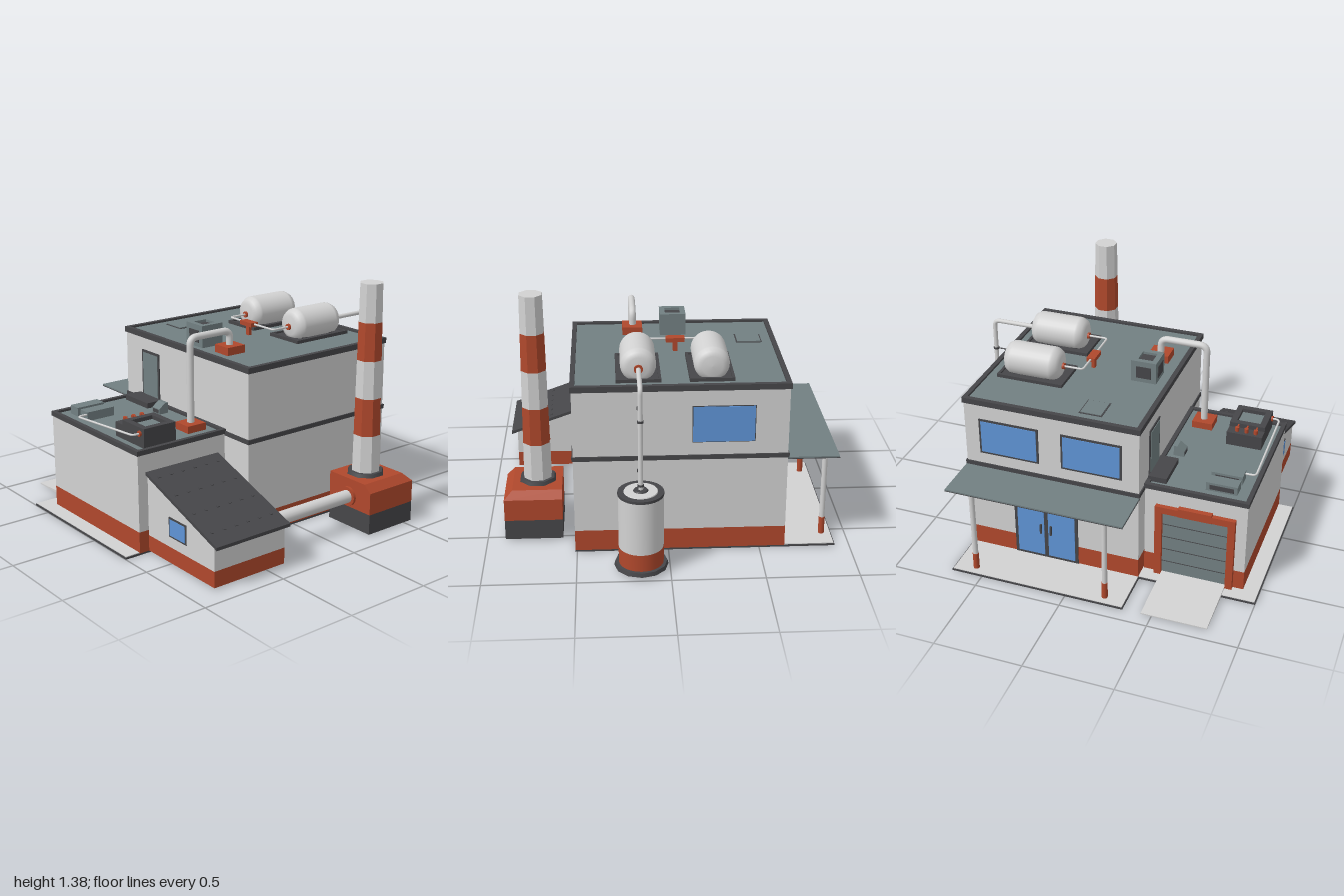
import * as THREE from 'three';
import { ConvexGeometry } from 'three/addons/geometries/ConvexGeometry.js';

const material = (name, color, extra = {}) => Object.assign(new THREE.MeshStandardMaterial({ color, ...extra }), { name });

export function createModel() {
  const wall = material('light grey', 0xd2d2d2);
  const red = material('brick red', 0xb0482c);
  const dark = material('charcoal', 0x464649);
  const slate = material('slate grey', 0x728082);
  const glass = material('window blue', 0x5f94d6);
  const facet = wall, model = new THREE.Group();
  model.name = 'factory';
  const V = (x, y, z) => new THREE.Vector3(x, y, z);

  const add = (name, geo, mat) => {
    const m = new THREE.Mesh(geo, mat);
    m.name = name;
    model.add(m);
    return m;
  };
  const box = (name, mat, x0, x1, y0, y1, z0, z1) => {
    const m = add(name, new THREE.BoxGeometry(x1 - x0, y1 - y0, z1 - z0), mat);
    m.position.set((x0 + x1) / 2, (y0 + y1) / 2, (z0 + z1) / 2);
    return m;
  };
  const hull = (name, mat, pts) => add(name, new ConvexGeometry(pts.map(p => V(...p))), mat);
  // upright cylinder between two heights
  const drum = (name, mat, x, z, y0, y1, r0, r1 = r0, n = 24) => {
    const m = add(name, new THREE.CylinderGeometry(r1, r0, y1 - y0, n), mat);
    m.position.set(x, (y0 + y1) / 2, z);
    return m;
  };
  // round bar lying along x
  const barX = (name, mat, x0, x1, y, z, r, n = 16) => {
    const m = add(name, new THREE.CylinderGeometry(r, r, x1 - x0, n), mat);
    m.rotation.z = Math.PI / 2;
    m.position.set((x0 + x1) / 2, y, z);
    return m;
  };
  // pipe through points with rounded elbows
  const pipe = (name, mat, r, bend, pts) => {
    const p = pts.map(a => V(...a)), path = new THREE.CurvePath();
    let from = p[0];
    for (let i = 1; i < p.length - 1; i++) {
      const a = p[i].clone().add(p[i - 1].clone().sub(p[i]).setLength(bend));
      const b = p[i].clone().add(p[i + 1].clone().sub(p[i]).setLength(bend));
      path.add(new THREE.LineCurve3(from, a));
      path.add(new THREE.QuadraticBezierCurve3(a, p[i], b));
      from = b;
    }
    path.add(new THREE.LineCurve3(from, p[p.length - 1]));
    return add(name, new THREE.TubeGeometry(path, 80, r, 12), mat);
  };
  // hollow rectangular rim
  const rim = (name, mat, x0, x1, y0, y1, z0, z1, t) => {
    box(name, mat, x0, x1, y0, y1, z0, z0 + t);
    box(name, mat, x0, x1, y0, y1, z1 - t, z1);
    box(name, mat, x0, x0 + t, y0, y1, z0 + t, z1 - t);
    box(name, mat, x1 - t, x1, y0, y1, z0 + t, z1 - t);
  };

  // ground slabs with pale paving
  box('mainSlab', dark, -0.335, 0.68, 0, 0.01, -0.92, 0.51);
  box('annexSlab', dark, -1, -0.335, 0, 0.01, -0.64, 0.31);
  box('terracePaving', wall, -0.33, 0.675, 0.01, 0.014, -0.915, -0.64);
  box('annexPaving', wall, -0.995, -0.33, 0.01, 0.014, -0.635, 0.305);
  hull('garageRamp', wall, [-0.81, -0.44].flatMap(x => [[x, 0.002, -0.92], [x, 0.008, -0.92], [x, 0.002, -0.55], [x, 0.025, -0.55]]));

  // main building
  box('mainBase', red, -0.33, 0.68, 0.01, 0.13, -0.64, 0.51);
  box('mainWalls', wall, -0.33, 0.68, 0.13, 0.945, -0.64, 0.51);
  box('floorBand', dark, -0.337, 0.687, 0.55, 0.575, -0.647, 0.517);
  box('mainRoof', slate, -0.32, 0.67, 0.945, 0.965, -0.63, 0.5);
  rim('mainParapet', dark, -0.337, 0.687, 0.945, 0.977, -0.647, 0.517, 0.026);

  // annex
  box('annexBase', red, -0.91, -0.335, 0.01, 0.13, -0.55, 0.31);
  box('annexWalls', wall, -0.91, -0.335, 0.13, 0.56, -0.55, 0.31);
  box('annexRoof', slate, -0.9, -0.335, 0.56, 0.574, -0.54, 0.3);
  rim('annexParapet', dark, -0.915, -0.33, 0.56, 0.587, -0.555, 0.315, 0.024);

  // windows: thin dark frame with a thin pane on top
  for (const x of [0.42, -0.06]) {
    box('windowFrame', dark, x - 0.175, x + 0.175, 0.642, 0.858, -0.645, -0.638);
    box('windowPane', glass, x - 0.163, x + 0.163, 0.654, 0.846, -0.648, -0.64);
  }
  box('sideWindowFrame', dark, 0.678, 0.683, 0.648, 0.857, -0.462, -0.125);
  box('sideWindowPane', glass, 0.679, 0.686, 0.652, 0.853, -0.458, -0.129);

  // glazed double door
  box('entranceFrame', dark, 0.025, 0.405, 0.014, 0.415, -0.646, -0.638);
  for (const s of [-1, 1]) {
    const x = 0.215 + s * 0.092;
    box('entrancePane', glass, x - 0.08, x + 0.08, 0.03, 0.4, -0.649, -0.641);
    box('entranceHandle', dark, 0.215 + s * 0.03 - 0.005, 0.215 + s * 0.03 + 0.005, 0.18, 0.24, -0.66, -0.645);
  }

  // canopy on posts
  box('canopyTop', slate, -0.335, 0.685, 0.543, 0.551, -0.92, -0.64);
  box('canopyEdge', dark, -0.336, 0.686, 0.539, 0.543, -0.921, -0.64);
  for (const x of [-0.215, 0.555]) {
    drum('canopyPost', wall, x, -0.865, 0.115, 0.54, 0.015, 0.015, 12);
    drum('canopyPostFoot', red, x, -0.865, 0.012, 0.115, 0.017, 0.017, 12);
  }

  // garage door
  for (const x of [-0.85, -0.44]) box('garageJamb', red, x, x + 0.04, 0.012, 0.47, -0.577, -0.545);
  box('garageLintel', red, -0.85, -0.4, 0.43, 0.47, -0.577, -0.545);
  box('garageKeystone', red, -0.72, -0.53, 0.43, 0.482, -0.58, -0.545);
  box('garageDoor', slate, -0.81, -0.44, 0.015, 0.43, -0.557, -0.549);
  for (let i = 1; i < 5; i++) box('garageSlatGap', dark, -0.81, -0.44, 0.015 + i * 0.083, 0.019 + i * 0.083, -0.559, -0.55);

  // roof access door and step
  box('roofDoorFrame', dark, -0.336, -0.329, 0.587, 0.872, -0.475, -0.305);
  box('roofDoor', slate, -0.339, -0.331, 0.6, 0.858, -0.462, -0.318);
  box('doorStep', dark, -0.44, -0.335, 0.57, 0.605, -0.5, -0.28);

  // lean-to shed with sloping roof
  const slope = z => 0.455 - (z - 0.31) * 0.355;
  const ends = [-0.85, -0.39];
  box('shedBase', red, -0.85, -0.39, 0.01, 0.1, 0.31, 0.88);
  hull('shedWalls', wall, ends.flatMap(x => [[x, 0.1, 0.31], [x, 0.1, 0.88], [x, slope(0.31) - 0.005, 0.31], [x, slope(0.88) - 0.005, 0.88]]));
  hull('shedRoof', dark, [-0.862, -0.382].flatMap(x => [0.31, 0.915].flatMap(z => [[x, slope(z) - 0.012, z], [x, slope(z) + 0.006, z]])));
  for (let i = 0; i < 4; i++) for (let j = 0; j < 6; j++) {
    const z = 0.37 + i * 0.15;
    const tile = box('roofStud', dark, -0.825 + j * 0.077, -0.808 + j * 0.077, slope(z) + 0.004, slope(z) + 0.01, z - 0.006, z + 0.006);
    tile.rotation.x = Math.atan(0.355);
  }
  box('shedWindowFrame', dark, -0.854, -0.848, 0.16, 0.27, 0.5, 0.65);
  box('shedWindow', glass, -0.857, -0.85, 0.17, 0.26, 0.51, 0.64);

  // furnace
  box('furnaceBase', dark, 0.21, 0.54, 0.01, 0.125, 0.58, 0.9);
  hull('furnaceBody', red, [0.125, 0.25].flatMap(y => [[0.21, y, 0.58], [0.54, y, 0.58], [0.21, y, 0.9], [0.54, y, 0.9]])
    .concat([[0.21, 0.292, 0.58], [0.5, 0.292, 0.58], [0.21, 0.292, 0.855], [0.5, 0.292, 0.855]]));

  // striped eight-sided chimney
  drum('chimneyCollar', dark, 0.352, 0.717, 0.29, 0.312, 0.108, 0.1, 8).geometry = flat(0.108, 0.1, 0.022);
  function flat(r0, r1, h) {
    return new THREE.CylinderGeometry(r1, r0, h, 8, 1).rotateY(Math.PI / 8).toNonIndexed();
  }
  for (let i = 0; i < 5; i++) {
    const r = k => 0.082 - k * 0.0032, h = 0.2136;
    const geo = flat(r(i), r(i + 1), h);
    geo.computeVertexNormals();
    add('chimneySection', geo, i % 2 ? red : facet).position.set(0.352, 0.312 + h * (i + 0.5), 0.717);
  }

  // duct from shed to furnace
  barX('duct', wall, -0.39, 0.21, 0.19, 0.735, 0.037);
  for (const x of [-0.395, 0.195]) barX('ductFlange', red, x, x + 0.016, 0.19, 0.735, 0.055);

  // standing tank
  const tx = 0.855, tz = 0.155;
  drum('tankFoot', dark, tx, tz, 0.02, 0.042, 0.145, 0.14, 12);
  drum('tankBand', red, tx, tz, 0.042, 0.138, 0.12, 0.12, 32);
  drum('tankBody', wall, tx, tz, 0.138, 0.445, 0.12, 0.12, 32);
  drum('tankRim', dark, tx, tz, 0.44, 0.455, 0.123, 0.123, 32);
  drum('tankLid', wall, tx, tz, 0.45, 0.46, 0.093, 0.088, 32);
  drum('tankSocket', dark, tx, tz, 0.46, 0.467, 0.04, 0.035);
  pipe('tankPipe', wall, 0.013, 0.035, [[tx, 0.45, tz], [tx, 1.037, tz], [0.59, 1.037, tz]]);
  for (const y of [0.49, 0.852]) {
    barX('pipeBracket', dark, 0.68, tx, y, tz, 0.004, 8);
    barX('bracketPlate', dark, 0.68, 0.69, y, tz, 0.015, 12);
    drum('pipeClamp', dark, tx, tz, y - 0.006, y + 0.006, 0.017, 0.017, 12);
  }

  // lying roof tanks on trays
  const profile = [[0, -0.168], [0.055, -0.165], [0.08, -0.152], [0.094, -0.128], [0.096, -0.115],
    [0.096, 0.115], [0.094, 0.128], [0.08, 0.152], [0.055, 0.165], [0, 0.168]].map(p => new THREE.Vector2(...p));
  for (const z of [0.155, -0.235]) {
    const tank = add('roofTank', new THREE.LatheGeometry(profile, 28), wall);
    tank.rotation.z = Math.PI / 2;
    tank.position.set(0.427, 1.043, z);
    box('tankTray', dark, 0.22, 0.61, 0.962, 0.975, z - 0.12, z + 0.12);
    rim('trayEdge', dark, 0.22, 0.61, 0.97, 0.984, z - 0.12, z + 0.12, 0.015);
    for (const x of [0.32, 0.53]) box('tankSaddle', dark, x - 0.02, x + 0.02, 0.97, 0.985, z - 0.07, z + 0.07);
    barX('tankInlet', red, 0.248, 0.264, 1.037, z, 0.018);
    pipe('valvePipe', wall, 0.006, 0.02, [[0.25, 1.037, z], [0.14, 1.037, z], [0.14, 1.037, -0.065]]);
  }
  barX('tankOutlet', red, 0.59, 0.605, 1.037, 0.155, 0.024);
  box('valveHead', red, 0.115, 0.165, 1.022, 1.046, -0.117, -0.012);
  box('valveStem', red, 0.13, 0.15, 0.962, 1.024, -0.078, -0.052);

  // roof vent and hatch
  box('roofVent', slate, -0.255, -0.11, 0.962, 1.075, -0.14, 0.008);
  rim('ventRim', slate, -0.255, -0.11, 1.075, 1.092, -0.14, 0.008, 0.03);
  box('ventOpening', dark, -0.225, -0.14, 1.07, 1.078, -0.11, -0.022);
  box('ventBackGrille', dark, -0.225, -0.14, 0.99, 1.06, -0.143, -0.138);
  box('ventSideGrille', dark, -0.258, -0.253, 0.99, 1.06, -0.11, -0.022);
  box('hatchEdge', dark, -0.095, 0.037, 0.96, 0.968, -0.567, -0.42);
  box('hatch', slate, -0.088, 0.03, 0.962, 0.972, -0.56, -0.427);

  // pipe linking the two roofs
  box('upperPipeBase', red, -0.245, -0.125, 0.962, 1.01, 0.11, 0.225);
  box('lowerPipeBase', red, -0.52, -0.4, 0.572, 0.615, 0.11, 0.225);
  pipe('linkPipe', wall, 0.02, 0.045, [[-0.185, 1, 0.165], [-0.185, 1.09, 0.165], [-0.457, 1.09, 0.165], [-0.457, 0.6, 0.165]]);

  // machine box on the annex roof
  box('machineBase', dark, -0.84, -0.635, 0.572, 0.655, 0, 0.27);
  rim('machineRim', dark, -0.84, -0.635, 0.655, 0.682, 0.068, 0.27, 0.035);
  box('machineTray', slate, -0.805, -0.67, 0.65, 0.66, 0.1, 0.24);
  for (const x of [-0.797, -0.743, -0.689]) {
    drum('machineValve', red, x, 0.03, 0.65, 0.68, 0.012, 0.012, 12);
    box('machineLever', red, x - 0.004, x + 0.004, 0.668, 0.678, 0.02, 0.07);
  }
  barX('machineFitting', red, -0.85, -0.838, 0.65, 0.235, 0.016);
  pipe('machinePipe', wall, 0.006, 0.025, [[-0.845, 0.65, 0.235], [-0.888, 0.65, 0.235], [-0.888, 0.61, -0.31], [-0.82, 0.61, -0.31]]);

  // cooling units and small hooded vent
  for (const z of [-0.48, -0.375]) {
    box('coolingUnit', slate, -0.83, -0.655, 0.572, 0.625, z, z + 0.075);
    box('coolingGrille', dark, -0.81, -0.675, 0.585, 0.612, z - 0.003, z + 0.002);
  }
  box('unitLink', slate, -0.69, -0.67, 0.572, 0.6, -0.41, -0.37);
  hull('hoodedVent', slate, [-0.212, -0.145].flatMap(z => [[-0.45, 0.572, z], [-0.39, 0.572, z], [-0.45, 0.605, z], [-0.39, 0.635, z], [-0.41, 0.635, z]]));
  box('hoodedVentGrille', dark, -0.453, -0.448, 0.58, 0.6, -0.205, -0.152);
  return model;
}
